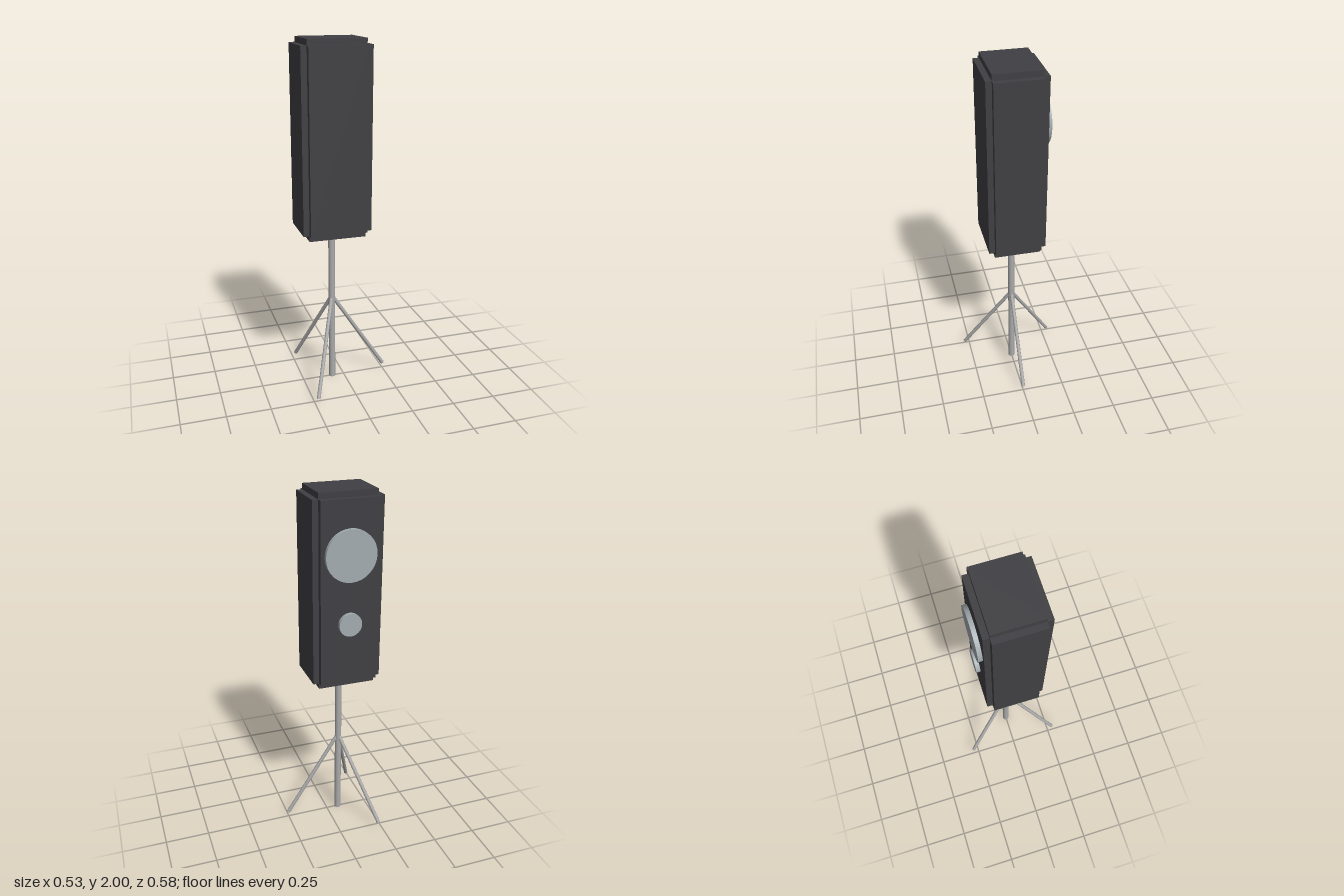
import * as THREE from 'three';

export function createModel() {
  const group = new THREE.Group();
  const cx = -0.071;
  const dark = new THREE.MeshStandardMaterial({ color: 0x404044 });
  const coneGrey = new THREE.MeshStandardMaterial({ color: 0xa4acb0 });
  const metal = new THREE.MeshStandardMaterial({ color: 0xaaaaaa });

  const add = (name, geometry, material, x, y, z) => {
    const mesh = new THREE.Mesh(geometry, material);
    mesh.name = name;
    mesh.position.set(x, y, z);
    group.add(mesh);
    return mesh;
  };

  // Cabinet: three crossing boxes leave stepped edges all round
  const cabinetY = 1.4625;
  add('cabinetCore', new THREE.BoxGeometry(0.322, 1.075, 0.26), dark, cx, cabinetY, 0);
  add('cabinetSides', new THREE.BoxGeometry(0.388, 1.01, 0.26), dark, cx, cabinetY, 0);
  add('cabinetFrontAndBack', new THREE.BoxGeometry(0.322, 1.01, 0.324), dark, cx, cabinetY, 0);

  // Driver discs on the -z face
  for (const [name, radius, y] of [['largeDriver', 0.14, 1.68], ['smallDriver', 0.064, 1.303]]) {
    const disc = add(name, new THREE.CylinderGeometry(radius, radius, 0.03, 32), coneGrey, cx, y, -0.17);
    disc.rotation.x = Math.PI / 2;
  }

  // Stand pole
  add('pole', new THREE.CylinderGeometry(0.019, 0.019, 0.92, 16), metal, cx, 0.46, 0);

  // Three splayed legs
  const up = new THREE.Vector3(0, 1, 0);
  const top = new THREE.Vector3(cx, 0.53, 0);
  for (let i = 0; i < 3; i++) {
    const a = (i * Math.PI * 2) / 3;
    const foot = new THREE.Vector3(cx + 0.323 * Math.cos(a), 0.032, 0.323 * Math.sin(a));
    const dir = top.clone().sub(foot);
    const mid = top.clone().add(foot).multiplyScalar(0.5);
    const leg = add('leg', new THREE.CylinderGeometry(0.011, 0.011, dir.length(), 8), metal, mid.x, mid.y, mid.z);
    leg.quaternion.setFromUnitVectors(up, dir.normalize());
  }

  return group;
}
